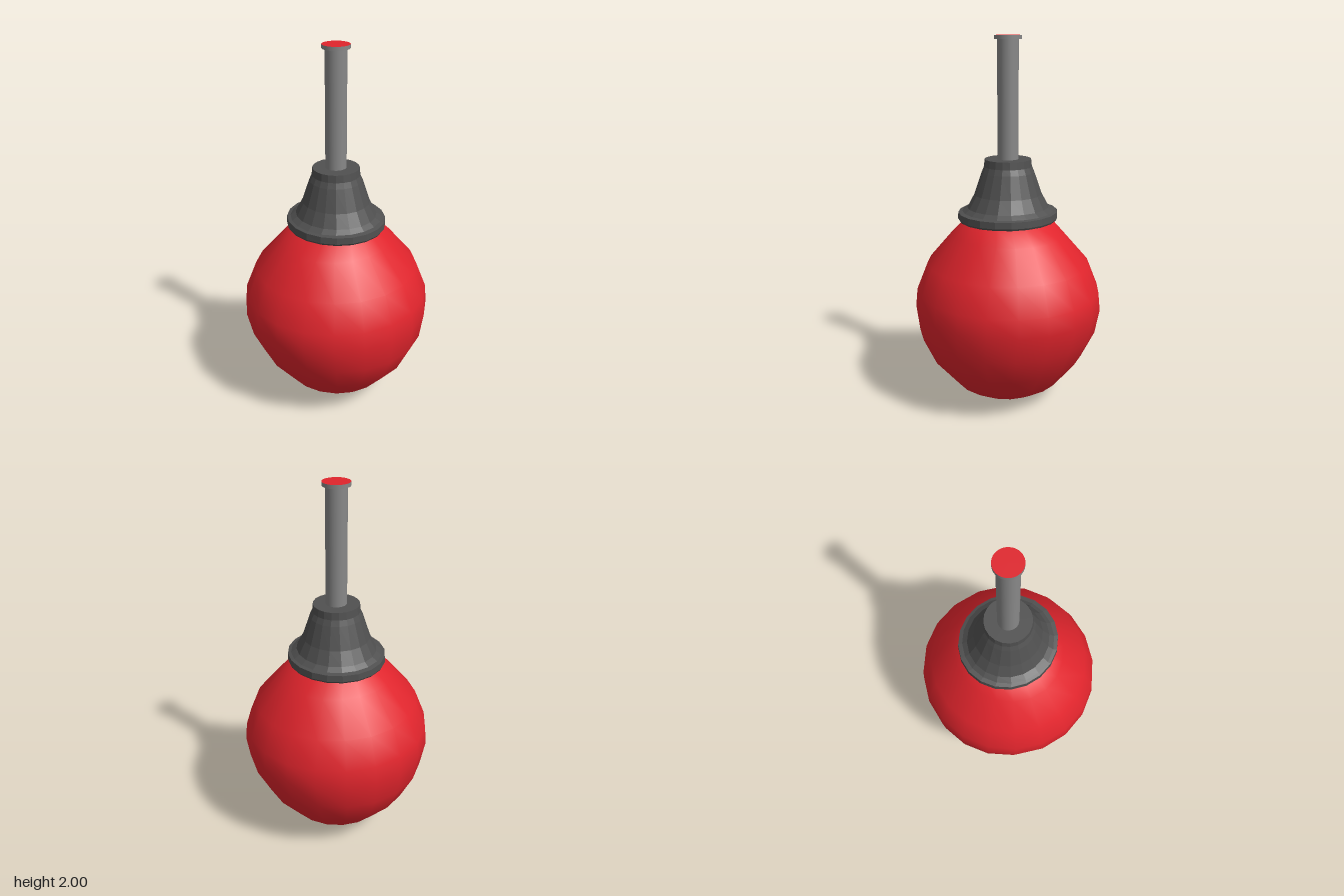
import * as THREE from 'three';
import { mergeVertices } from 'three/addons/utils/BufferGeometryUtils.js';

const SIDES = 20;

const paint = (color, extra = {}) => new THREE.MeshStandardMaterial({ color, ...extra });

// Turned shape whose rings are slightly elliptical: rows are [half width x, half depth z, y], bottom to top
function ovalLathe(rows) {
  const points = rows.map((row, i) => new THREE.Vector2(1, i));
  const geometry = new THREE.LatheGeometry(points, SIDES);
  const p = geometry.attributes.position;
  for (let i = 0; i < p.count; i++) {
    const [rx, rz, y] = rows[Math.round(p.getY(i))];
    p.setXYZ(i, p.getX(i) * rx, y, p.getZ(i) * rz);
  }
  geometry.deleteAttribute('uv');
  geometry.deleteAttribute('normal');
  const merged = mergeVertices(geometry);
  merged.computeVertexNormals();
  return merged;
}

export function createModel() {
  const model = new THREE.Group();
  const red = paint(0xe0242c);
  const darkGrey = paint(0x505050, { flatShading: true, side: THREE.DoubleSide });
  const grey = paint(0x888888);

  const add = (name, geometry, material, y = 0) => {
    const mesh = new THREE.Mesh(geometry, material);
    mesh.name = name;
    mesh.position.y = y;
    model.add(mesh);
  };

  // Rubber bulb, slightly flattened underneath
  add('bulb', ovalLathe([
    [0, 0, 0], [0.09, 0.08, 0.002], [0.21, 0.2, 0.045], [0.3, 0.29, 0.1], [0.43, 0.41, 0.25],
    [0.5, 0.485, 0.4], [0.51, 0.52, 0.54], [0.5, 0.51, 0.64], [0.44, 0.45, 0.79],
    [0.3, 0.315, 0.95], [0.24, 0.22, 1.03], [0.12, 0.12, 1.07], [0, 0, 1.08],
  ]), red);

  // Bell-shaped collar with a rim
  add('collar', ovalLathe([
    [0.22, 0.2, 1.05], [0.27, 0.258, 1.03], [0.277, 0.263, 1.04], [0.275, 0.261, 1.075],
    [0.25, 0.245, 1.08], [0.225, 0.215, 1.1], [0.185, 0.18, 1.17], [0.142, 0.142, 1.29],
    [0.13, 0.128, 1.32], [0.125, 0.125, 1.36], [0, 0, 1.36],
  ]), darkGrey);

  // Stem and its flat end cap
  add('stem', new THREE.CylinderGeometry(0.056, 0.056, 0.64, 32), grey, 1.66);
  add('endCap', new THREE.CylinderGeometry(0.072, 0.072, 0.02, 32), [grey, red, red], 1.99);

  return model;
}
